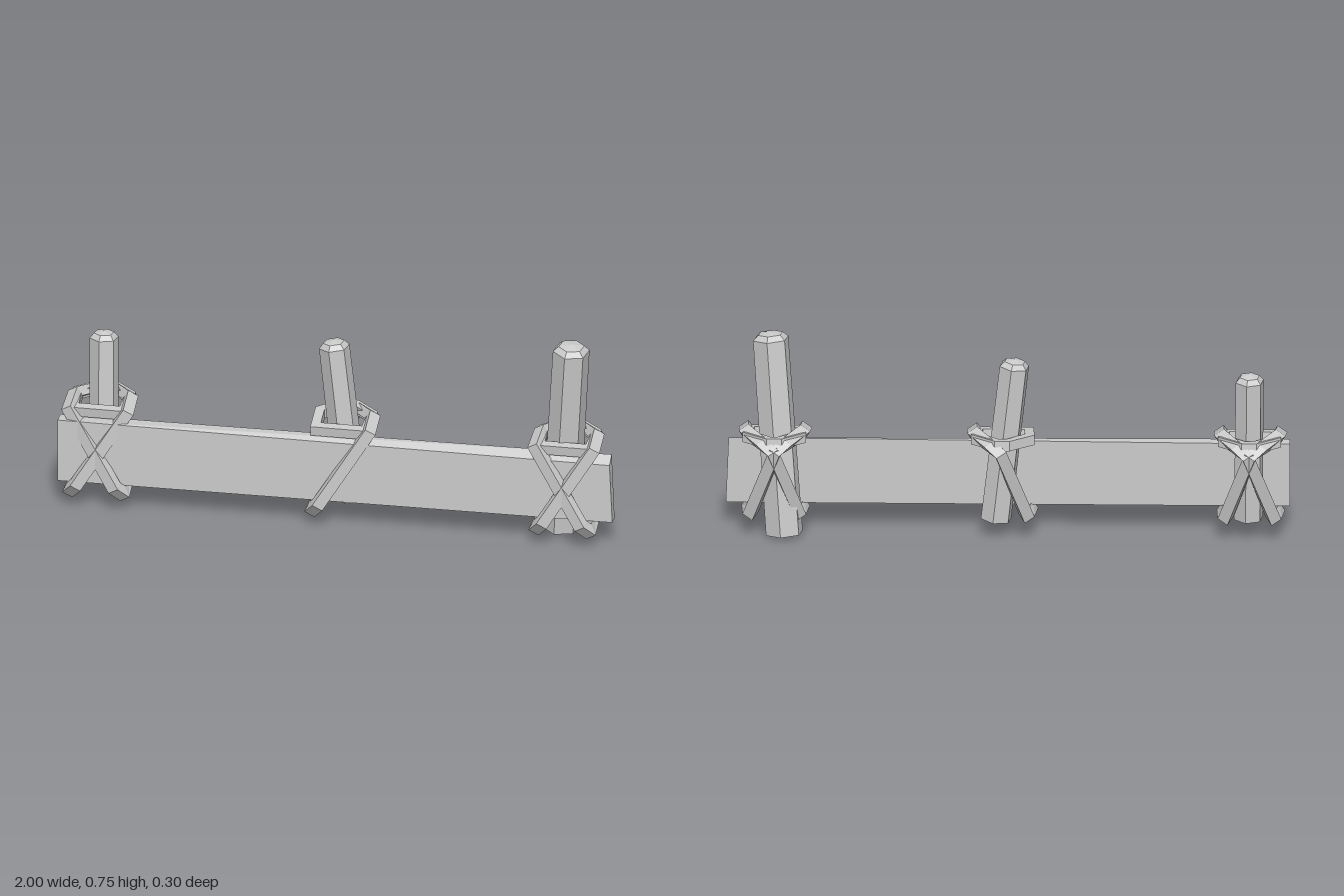
import * as THREE from 'three';

const material = new THREE.MeshStandardMaterial({ color: 0xcccccc, flatShading: true });
const V = (x, y, z) => new THREE.Vector3(x, y, z);

function addMesh(parent, name, geometry) {
  const flat = geometry.toNonIndexed();
  flat.computeVertexNormals();
  const mesh = new THREE.Mesh(flat, material);
  mesh.name = name;
  parent.add(mesh);
  return mesh;
}

// Closed rectangular strap with mitred corners, following a polygon of points
function strap(points, width, height) {
  const count = points.length;
  const n = V(0, 0, 0);
  points.forEach((p, i) => n.add(p.clone().cross(points[(i + 1) % count])));
  n.normalize();
  const positions = [], index = [];
  points.forEach((p, i) => {
    const before = p.clone().sub(points[(i + count - 1) % count]).normalize();
    const after = points[(i + 1) % count].clone().sub(p).normalize();
    const outA = before.cross(n), outB = after.cross(n);
    const miter = outA.clone().add(outB).normalize();
    miter.multiplyScalar(width / 2 / Math.max(0.5, miter.dot(outB)));
    for (const [a, b] of [[1, 1], [-1, 1], [-1, -1], [1, -1]]) {
      const c = p.clone().addScaledVector(miter, a).addScaledVector(n, b * height / 2);
      positions.push(c.x, c.y, c.z);
    }
    for (let k = 0; k < 4; k++) {
      const j = (i + 1) % count, l = (k + 1) % 4;
      const a = i * 4 + k, b = j * 4 + k, c = j * 4 + l, d = i * 4 + l;
      index.push(a, b, c, a, c, d);
    }
  });
  const geometry = new THREE.BufferGeometry();
  geometry.setAttribute('position', new THREE.Float32BufferAttribute(positions, 3));
  geometry.setIndex(index);
  return geometry;
}

// Six-sided leaning stake with a chamfered top
function stake(parent, bottom, top, radius, turn) {
  const axis = top.clone().sub(bottom);
  const h = axis.length();
  const profile = [[0, 0], [radius * 1.04, 0], [radius, h - 0.026], [radius * 0.7, h - 0.008], [0, h]]
    .map(([r, y]) => new THREE.Vector2(r, y));
  const geometry = new THREE.LatheGeometry(profile, 6);
  geometry.rotateY(turn);
  const mesh = addMesh(parent, 'stake', geometry);
  mesh.position.copy(bottom);
  mesh.quaternion.setFromUnitVectors(V(0, 1, 0), axis.normalize());
}

// Lashing loop: crosses the plank's front and meets behind the stake; side mirrors it
function diagonalLoop(parent, x, side) {
  const points = [
    [-0.07, 0.09, 0.125], [-0.095, 0.06, 0.1], [-0.085, 0.085, -0.05], [0.005, 0.345, -0.127],
    [0.04, 0.368, -0.108], [0.1, 0.382, -0.02], [0.102, 0.36, 0.075],
  ].map(([a, y, z]) => V(x + side * a, y, z));
  addMesh(parent, 'diagonalLashing', strap(points, 0.035, 0.042));
}

// Collar wrapped around a stake just above the plank, pointed at the back
function collar(parent, x) {
  const points = [
    [0.09, 0.355, 0.062], [0.095, 0.372, -0.045], [0.02, 0.375, -0.112],
    [-0.02, 0.375, -0.112], [-0.095, 0.372, -0.045], [-0.09, 0.355, 0.062],
  ].map(([a, y, z]) => V(x + a, y, z));
  addMesh(parent, 'collarLashing', strap(points, 0.034, 0.036));
}

export function createModel() {
  const group = new THREE.Group();

  // Plank, slightly thinner and set further back towards +x
  const plank = new THREE.BoxGeometry(2, 1, 1);
  const pos = plank.attributes.position;
  for (let i = 0; i < pos.count; i++) {
    const t = (pos.getX(i) + 1) / 2, up = pos.getY(i) > 0, front = pos.getZ(i) > 0;
    const x = t > 0.5 && up ? 0.99 : pos.getX(i);
    const y = up ? 0.327 + 0.011 * t - (front ? 0.025 * t : 0) : 0.092;
    const z = front ? 0.104 - 0.026 * t : 0.052 - 0.016 * t;
    pos.setXYZ(i, x, y, z);
  }
  addMesh(group, 'plank', plank);

  // Stakes with their lashings; the middle one has a single diagonal loop
  const posts = [
    { name: 'rightPost', x: -0.86, bottom: V(-0.855, 0.07, -0.01), top: V(-0.86, 0.625, -0.04), r: 0.052, turn: -0.17, sides: [1, -1] },
    { name: 'middlePost', x: 0.015, bottom: V(0.04, 0.062, -0.02), top: V(-0.028, 0.668, -0.025), r: 0.055, turn: -0.17, sides: [1] },
    { name: 'leftPost', x: 0.825, bottom: V(0.79, 0.008, -0.043), top: V(0.842, 0.747, 0.022), r: 0.066, turn: -0.17, sides: [1, -1] },
  ];
  for (const p of posts) {
    const post = new THREE.Group();
    post.name = p.name;
    stake(post, p.bottom, p.top, p.r, p.turn);
    p.sides.forEach((side) => diagonalLoop(post, p.x, side));
    collar(post, p.x);
    group.add(post);
  }
  return group;
}
